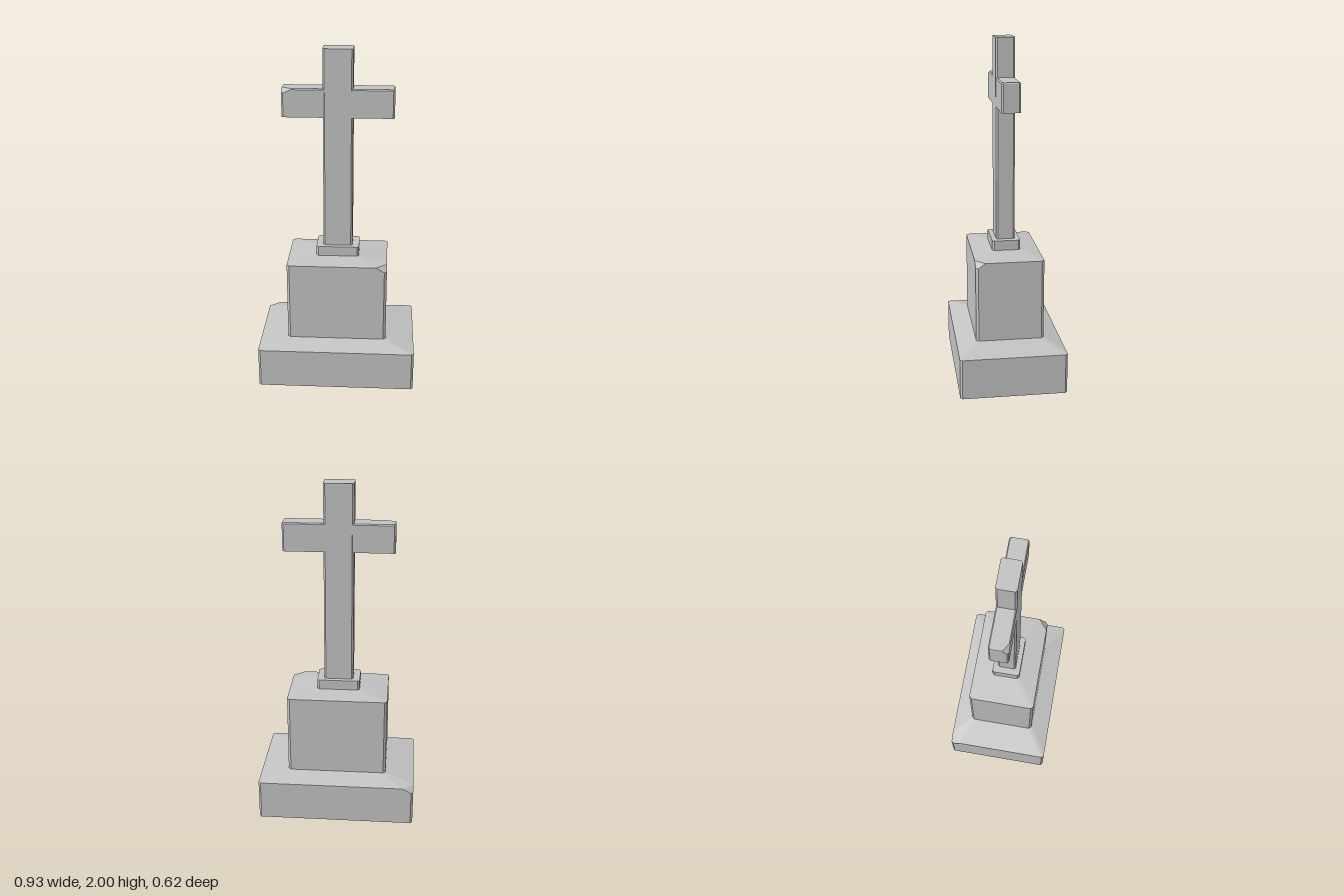
import * as THREE from 'three';
import { ConvexGeometry } from 'three/addons/geometries/ConvexGeometry.js';

// Corners of a rectangle with bevelled corners, at height y.
function ring(y, hx, hz, bevel) {
  const points = [];
  for (const sx of [-1, 1]) {
    for (const sz of [-1, 1]) {
      points.push(new THREE.Vector3(sx * (hx - bevel), y, sz * hz));
      points.push(new THREE.Vector3(sx * hx, y, sz * (hz - bevel)));
    }
  }
  return points;
}

// Knocks off the corner of a ring on side (sx, sz): lowers it and leaves
// two new points where the break runs out along the edges.
function chip(points, sx, sz, alongX, alongZ, drop) {
  const y = points[0].y;
  const hx = Math.max(...points.map((p) => p.x));
  const hz = Math.max(...points.map((p) => p.z));
  for (const p of points) {
    if (p.x * sx > 0 && p.z * sz > 0) p.y -= drop;
  }
  points.push(new THREE.Vector3(sx * (hx - alongX), y, sz * hz));
  points.push(new THREE.Vector3(sx * hx, y, sz * (hz - alongZ)));
  return points;
}

export function createModel() {
  const model = new THREE.Group();
  model.name = 'stoneCross';

  const stone = new THREE.MeshStandardMaterial({ color: 0xc2c2c2 });
  stone.name = 'grey stone';

  function addStone(name, ...rings) {
    const mesh = new THREE.Mesh(new ConvexGeometry(rings.flat()), stone);
    mesh.name = name;
    model.add(mesh);
  }

  // Wide base with a sloping top, chipped at one back corner
  addStone('base',
    ring(0, 0.465, 0.31, 0.013),
    chip(ring(0.238, 0.465, 0.31, 0.013), -1, -1, 0.065, 0.055, 0.03),
    ring(0.276, 0.295, 0.199, 0.015));

  // Pedestal with a shallow hipped top, chipped at one front corner
  addStone('pedestal',
    ring(0.27, 0.295, 0.199, 0.015),
    chip(ring(0.75, 0.295, 0.199, 0.015), 1, 1, 0.065, 0.055, 0.03),
    ring(0.77, 0.126, 0.083, 0.012));

  // Small plinth under the cross
  addStone('plinth',
    ring(0.765, 0.126, 0.083, 0.012),
    ring(0.828, 0.126, 0.083, 0.012));

  // Upright of the cross
  addStone('upright',
    ring(0.82, 0.086, 0.055, 0.01),
    ring(2, 0.086, 0.055, 0.01));

  // Crossbar with a softened top edge, chipped at one front end
  addStone('crossbar',
    ring(1.61, 0.32, 0.054, 0.01),
    chip(ring(1.769, 0.32, 0.054, 0.01), -1, 1, 0.055, 0.03, 0.02),
    ring(1.775, 0.317, 0.048, 0.01).filter((p) => p.x > 0),
    [[-0.317, -0.04], [-0.31, -0.048], [-0.317, 0.02], [-0.27, 0.048]]
      .map(([x, z]) => new THREE.Vector3(x, 1.775, z)));

  return model;
}
